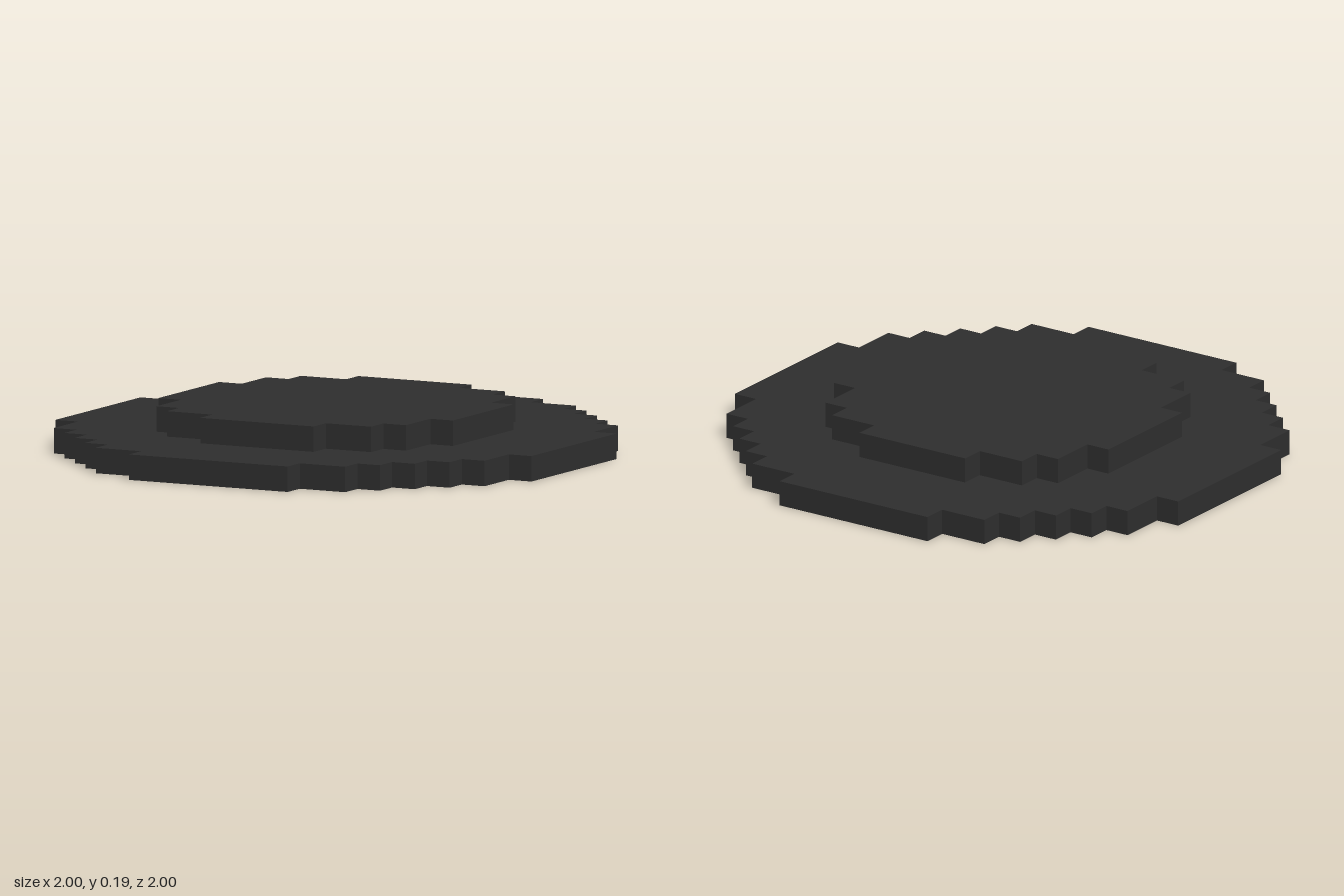
import * as THREE from 'three';

const UNIT = 2 / 21; // the stepped discs sit on a 21 x 21 grid

// Corner steps of one quadrant, as [x, z] in grid units
const OUTER = [[10.5, 3.5], [9.5, 5.5], [8.5, 6.5], [7.5, 7.5], [6.5, 8.5], [5.5, 9.5], [3.5, 10.5]];
const INNER = [[6.5, 2.5], [5.5, 4.5], [4.5, 5.5], [2.5, 6.5]];

// Full stepped outline: one quadrant's staircase turned four times
function outline(steps) {
  const quadrant = [];
  steps.forEach(([x, y], i) => {
    if (i > 0) quadrant.push([x, steps[i - 1][1]]);
    quadrant.push([x, y]);
  });
  const points = [];
  for (let turn = 0; turn < 4; turn++) {
    const c = [1, 0, -1, 0][turn], s = [0, 1, 0, -1][turn];
    for (const [x, y] of quadrant) {
      points.push(new THREE.Vector2((x * c - y * s) * UNIT, (x * s + y * c) * UNIT));
    }
  }
  return points;
}

function slab(name, shape, y, material) {
  const geometry = new THREE.ExtrudeGeometry(shape, { depth: UNIT, bevelEnabled: false });
  geometry.rotateX(-Math.PI / 2);
  const mesh = new THREE.Mesh(geometry, material);
  mesh.name = name;
  mesh.position.y = y;
  return mesh;
}

export function createModel() {
  const model = new THREE.Group();
  model.name = 'steppedDisc';
  const charcoal = new THREE.MeshStandardMaterial({ color: 0x2e2e2e });
  charcoal.name = 'charcoal';

  // Lower ring, open in the middle so the underside is recessed
  const ring = new THREE.Shape(outline(OUTER));
  ring.holes.push(new THREE.Path(outline(INNER)));
  model.add(slab('lowerRing', ring, 0, charcoal));

  // Raised centre plate covering the opening
  model.add(slab('raisedCentre', new THREE.Shape(outline(INNER)), UNIT, charcoal));
  return model;
}
